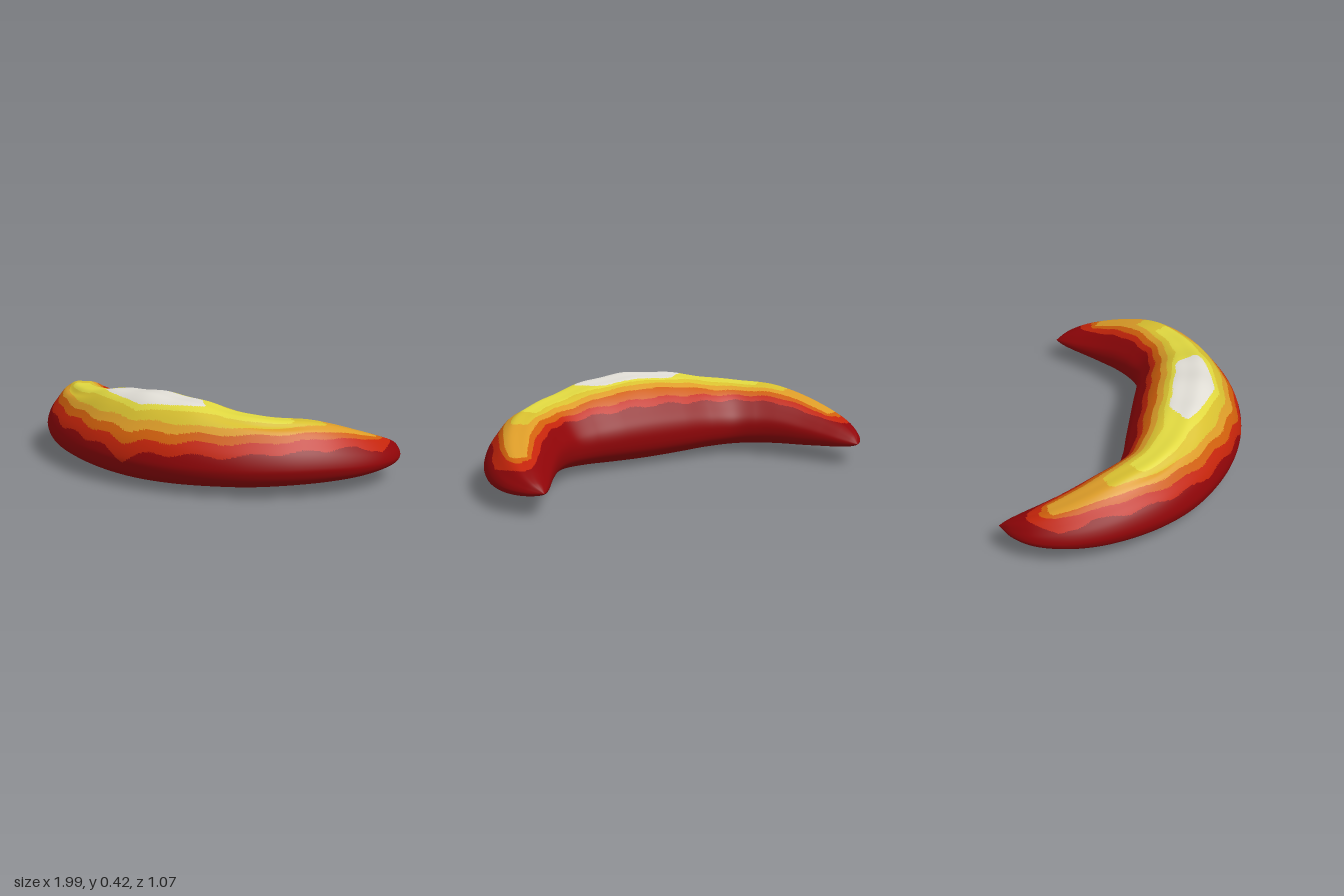
import * as THREE from 'three';

const mat = (name, color) => new THREE.MeshStandardMaterial({ name, color });

// Half-crescent stations from the middle to the tip:
// [outer x, outer z, inner x, inner z, top, bottom]
const STATIONS = [
  [0, 0.533, 0, -0.03, 0.422, 0.004],
  [0.2, 0.515, 0.17, -0.03, 0.412, 0.009],
  [0.4, 0.458, 0.33, -0.03, 0.383, 0.02],
  [0.6, 0.36, 0.45, -0.05, 0.357, 0.03],
  [0.76, 0.235, 0.54, -0.11, 0.347, 0.04],
  [0.88, 0.085, 0.62, -0.19, 0.325, 0.047],
  [0.957, -0.07, 0.69, -0.28, 0.282, 0.055],
  [0.994, -0.225, 0.75, -0.37, 0.238, 0.068],
  [0.988, -0.365, 0.8, -0.45, 0.196, 0.083],
  [0.94, -0.468, 0.84, -0.505, 0.158, 0.1],
  [0.87, -0.538, 0.87, -0.538, 0.12, 0.12],
];

// Cross-section, from the underside round the outer wall, crest and inner wall:
// [fraction from inner to outer edge, fraction of height]
const PROFILE = [
  [0.5, 0], [0.7, 0.02], [0.87, 0.085], [0.96, 0.17], [1, 0.3], [0.995, 0.4], [0.95, 0.56],
  [0.86, 0.73], [0.77, 0.88], [0.7, 0.96], [0.62, 1], [0.5, 0.99], [0.39, 0.975], [0.28, 0.91],
  [0.19, 0.82], [0.1, 0.68], [0.02, 0.52], [0, 0.36], [0.03, 0.2], [0.13, 0.09], [0.3, 0.02],
];
const CREST = 11 / PROFILE.length;

// Height fractions where each colour band gives way to the next, per station
const NO_BANDS = [1.2, 1.3, 1.4, 1.5, 1.6, 1.7];
const OUTER_BANDS = [
  [0.34, 0.53, 0.65, 0.76, 0.85, 0.91], [0.47, 0.59, 0.69, 0.79, 0.92, 0.97],
  [0.5, 0.66, 0.76, 0.84, 0.98, 1.02], [0.56, 0.71, 0.82, 0.92, 0.985, 1.2],
  [0.61, 0.75, 0.85, 0.96, 0.99, 1.2], [0.64, 0.81, 0.91, 0.99, 1.1, 1.2],
  [0.73, 0.87, 0.95, 1.1, 1.2, 1.3], [0.6, 0.91, 0.97, 1.2, 1.3, 1.4],
  [1, 1.1, 1.2, 1.3, 1.4, 1.5], NO_BANDS, NO_BANDS,
];
const INNER_BANDS = [
  [0.72, 0.8, 0.89, 0.935, 0.962, 0.976], [0.72, 0.8, 0.89, 0.935, 0.962, 0.976],
  [0.74, 0.82, 0.89, 0.94, 0.98, 1.01], [0.77, 0.84, 0.9, 0.95, 0.98, 1.2],
  [0.79, 0.86, 0.92, 0.965, 0.985, 1.2], [0.81, 0.89, 0.95, 0.985, 1.1, 1.2],
  [0.83, 0.92, 0.965, 1.1, 1.2, 1.3], [0.87, 0.94, 0.975, 1.2, 1.3, 1.4],
  [1, 1.1, 1.2, 1.3, 1.4, 1.5], NO_BANDS, NO_BANDS,
];

const last = STATIONS.length - 1;
const mirrored = (pick) => new THREE.CatmullRomCurve3([
  ...STATIONS.slice(1).reverse().map((s) => pick(s, -1)),
  ...STATIONS.map((s) => pick(s, 1)),
]);
const outerTop = mirrored((s, m) => new THREE.Vector3(m * s[0], s[4], s[1]));
const innerBottom = mirrored((s, m) => new THREE.Vector3(m * s[2], s[5], s[3]));
const section = new THREE.CatmullRomCurve3(PROFILE.map(([w, h]) => new THREE.Vector3(w, h, 0)), true);

// Colour band index at position t along the body and v round the section
function bandAt(t, v) {
  const d = Math.min(Math.abs(t * 2 - 1) * last, last - 0.001);
  const i = Math.floor(d);
  const table = v < CREST ? OUTER_BANDS : INNER_BANDS;
  const { y } = section.getPoint(v);
  // the borders waver on the walls and settle towards the crest
  const h = y + 0.06 * (1 - y) * Math.cos(d * 5);
  let band = 0;
  while (band < 6 && h > THREE.MathUtils.lerp(table[i][band], table[i + 1][band], d - i)) band++;
  return band;
}

export function createModel() {
  const materials = [
    mat('dark red', 0x8f0508), mat('vermilion', 0xc4240a), mat('orange', 0xcf5f0c),
    mat('amber', 0xdc9c28), mat('yellow', 0xd8c030), mat('lemon', 0xe0d840), mat('off white', 0xe0ddd5),
  ];
  const LONG = 380, ROUND = 180;
  const positions = [];
  const buckets = materials.map(() => []);
  const ring = Array.from({ length: ROUND }, (_, j) => section.getPoint(j / ROUND));

  // Sweep the section along the crescent
  for (let i = 0; i <= LONG; i++) {
    const t = i / LONG;
    const a = outerTop.getPoint(t), b = innerBottom.getPoint(t);
    const d = Math.abs(t * 2 - 1) * last;
    const fold = Math.exp(-(((d - 3.3) / 1.3) ** 2));
    ring.forEach((p, j) => {
      // shallow crease outside the crest and gentle lumps on top
      const groove = 0.014 * fold * Math.exp(-(((j / ROUND - 9 / 21) / 0.035) ** 2));
      const lumps = 0.004 * Math.cos(d * 4.2) * p.y ** 6 * Math.max(0, 1 - d / 7);
      positions.push(
        b.x + (a.x - b.x) * p.x,
        Math.max(0, b.y + (a.y - b.y) * p.y - groove + lumps),
        b.z + (a.z - b.z) * p.x,
      );
    });
  }

  // Sort faces by colour band
  for (let i = 0; i < LONG; i++) {
    for (let j = 0; j < ROUND; j++) {
      const k = (j + 1) % ROUND;
      const p = i * ROUND + j, q = i * ROUND + k;
      const r = p + ROUND, s = q + ROUND;
      buckets[bandAt((i + 0.33) / LONG, (j + 0.33) / ROUND)].push(p, r, q);
      buckets[bandAt((i + 0.67) / LONG, (j + 0.67) / ROUND)].push(r, s, q);
    }
  }

  const geometry = new THREE.BufferGeometry();
  geometry.setAttribute('position', new THREE.Float32BufferAttribute(positions, 3));
  geometry.setIndex(buckets.flat());
  let start = 0;
  buckets.forEach((faces, m) => {
    geometry.addGroup(start, faces.length, m);
    start += faces.length;
  });
  geometry.computeVertexNormals();

  const body = new THREE.Mesh(geometry, materials);
  body.name = 'crescentBody';
  const group = new THREE.Group();
  group.name = 'crescent';
  group.add(body);
  return group;
}
